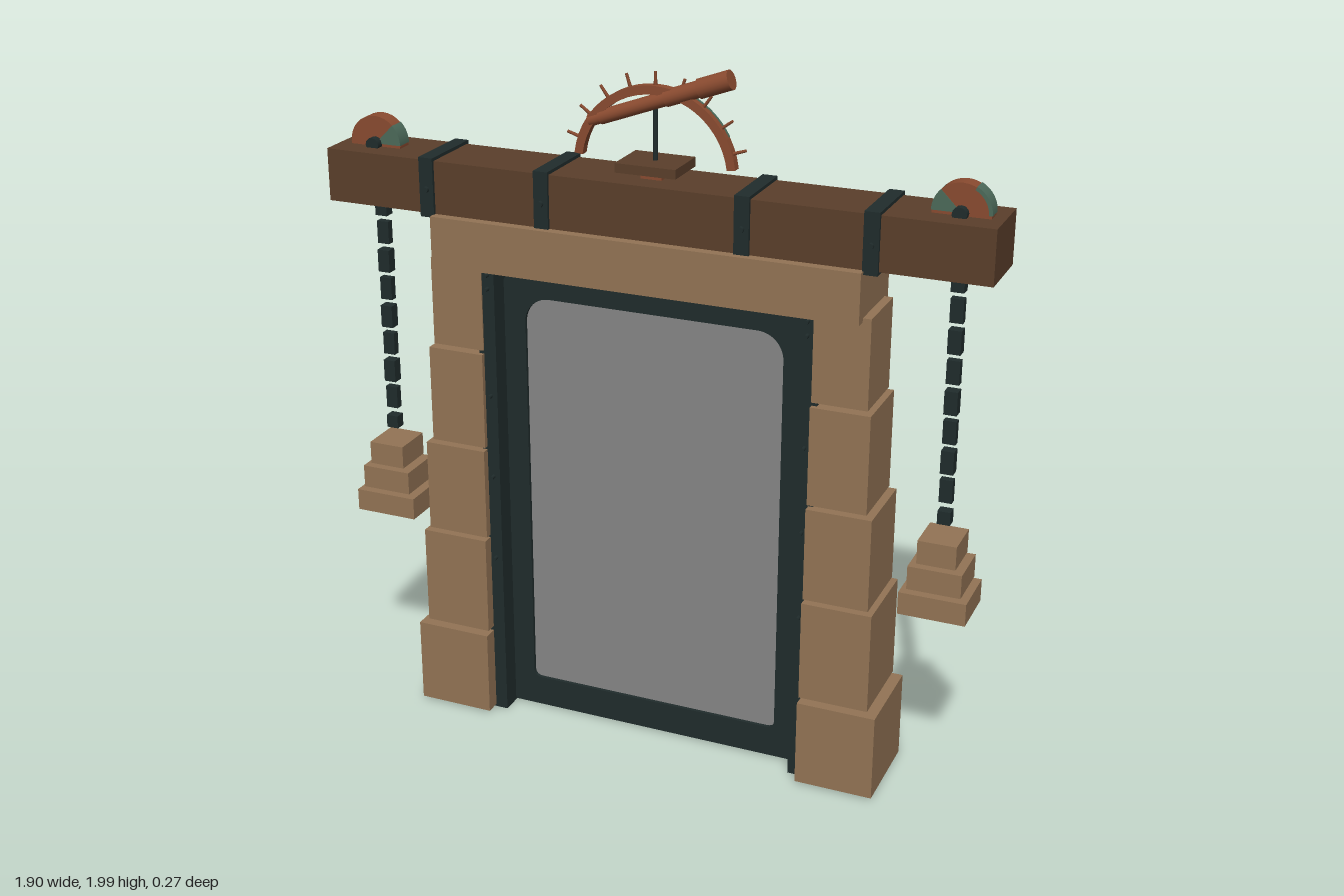
import * as THREE from 'three';

const mat = (name, color) => {
  const m = new THREE.MeshStandardMaterial({ color });
  m.name = name;
  return m;
};

export function createModel() {
  const stone = mat('sandstone', 0x937455);
  const wood = mat('dark wood', 0x5b3f2b);
  const iron = mat('dark iron', 0x202c2c);
  const copper = mat('copper', 0x8a4b30);
  const patina = mat('green patina', 0x4c6a5a);
  const glass = mat('grey panel', 0x868686);
  const root = new THREE.Group();

  const add = (name, geo, m, x = 0, y = 0, z = 0, parent = root) => {
    const mesh = new THREE.Mesh(geo, m);
    mesh.name = name;
    mesh.position.set(x, y, z);
    parent.add(mesh);
    return mesh;
  };
  // Box given by its limits in x and y and its half depth
  const block = (name, m, x0, x1, y0, y1, hz, parent) =>
    add(name, new THREE.BoxGeometry(Math.abs(x1 - x0), y1 - y0, hz * 2), m, (x0 + x1) / 2, (y0 + y1) / 2, 0, parent);
  // Extrusion centred on z = 0
  const slab = (shape, depth) =>
    new THREE.ExtrudeGeometry(shape, { depth, bevelEnabled: false, curveSegments: 12 }).translate(0, 0, -depth / 2);
  // Rectangle with different radii for the upper and lower corners
  const rounded = (P, hx, y0, y1, rt, rb) => {
    const p = new P();
    p.moveTo(-hx + rb, y0);
    p.lineTo(hx - rb, y0);
    p.quadraticCurveTo(hx, y0, hx, y0 + rb);
    p.lineTo(hx, y1 - rt);
    p.absarc(hx - rt, y1 - rt, rt, 0, Math.PI / 2, false);
    p.lineTo(-hx + rt, y1);
    p.absarc(-hx + rt, y1 - rt, rt, Math.PI / 2, Math.PI, false);
    p.lineTo(-hx, y0 + rb);
    p.quadraticCurveTo(-hx, y0, -hx + rb, y0);
    return p;
  };
  const arcShape = (r0, r1, a0, a1) => {
    const s = new THREE.Shape();
    s.absarc(0, 0, r1, a0, a1, false);
    s.absarc(0, 0, r0, a1, a0, true);
    return s;
  };

  // Crossbeam, lintel and iron straps with bolts
  block('crossbeam', wood, -0.953, 0.951, 1.54, 1.69, 0.097);
  block('lintel', stone, -0.62, 0.617, 1.398, 1.54, 0.125);
  for (const x of [-0.638, -0.29, 0.285, 0.634]) {
    block('strap', iron, x - 0.021, x + 0.021, 1.531, 1.699, 0.106);
    add('strapBolts', new THREE.CylinderGeometry(0.009, 0.009, 0.232, 8).rotateX(Math.PI / 2), iron, x, 1.61, 0);
  }

  // Door frame with grey panel
  const door = rounded(THREE.Shape, 0.452, 0.008, 1.397, 0.07, 0.002);
  door.holes.push(rounded(THREE.Path, 0.383, 0.1, 1.31, 0.075, 0.025));
  add('doorFrame', slab(door, 0.06), iron);
  add('doorPanel', slab(rounded(THREE.Shape, 0.386, 0.097, 1.313, 0.075, 0.025), 0.04), glass);
  block('doorHeader', iron, -0.46, 0.46, 1.33, 1.4, 0.022);

  // Tapering stacks of stone: outer edge, bottom, top, half depth
  const courses = [
    [0.711, 0.01, 0.264, 0.133], [0.685, 0.277, 0.572, 0.122], [0.671, 0.58, 0.852, 0.112],
    [0.653, 0.861, 1.145, 0.103], [0.641, 1.155, 1.41, 0.093],
  ];
  for (const s of [-1, 1]) {
    courses.forEach(([x, y0, y1, hz]) => block('pillarStone', stone, s * 0.485, s * x, y0, y1, hz));
    block('doorJamb', iron, s * 0.448, s * 0.5, 0.003, 1.398, 0.089);
    for (const y of [0.51, 0.77, 1.02, 1.34, 1.38])
      add('jambRivets', new THREE.CylinderGeometry(0.006, 0.006, 0.21, 8).rotateX(Math.PI / 2), iron, s * 0.468, y, 0);

    // Pulley with a weathered sector on the inner side
    const pulley = new THREE.Group();
    pulley.name = 'pulley';
    pulley.position.set(s * 0.84, 1.698, 0);
    root.add(pulley);
    add('wheel', new THREE.CylinderGeometry(0.078, 0.078, 0.046, 32).rotateX(Math.PI / 2), copper, 0, 0, 0, pulley);
    const a = s > 0 ? Math.PI * 0.75 : 0;
    add('weatheredSector', slab(arcShape(0.016, 0.0785, a, a + Math.PI / 4), 0.05), patina, 0, 0, 0, pulley);
    if (s > 0) add('weatheredRim', slab(arcShape(0.07, 0.08, 0, 1.1), 0.047), patina, 0, 0, 0, pulley);
    add('axle', new THREE.CylinderGeometry(0.02, 0.02, 0.09, 12).rotateX(Math.PI / 2), iron, 0, 0, 0, pulley);

    // Hanging chain and stepped stone weight
    for (let i = 0; i < 9; i++) {
      const h = i === 8 ? 0.038 : 0.066;
      const turned = i % 2;
      add('chainLink', new THREE.BoxGeometry(0.036, h, turned ? 0.022 : 0.032), iron,
        s * 0.84, i === 8 ? 0.85 : 1.518 - i * 0.0845, 0);
    }
    [[0.054, 0.726, 0.794, 0.061], [0.075, 0.65, 0.718, 0.071], [0.094, 0.576, 0.641, 0.081]]
      .forEach(([hx, y0, y1, hz]) => block('weight', stone, s * 0.838 - hx, s * 0.838 + hx, y0, y1, hz));
  }

  // Sighting instrument on top: base, post and toothed arc
  block('instrumentFoot', copper, -0.03, 0.03, 1.685, 1.712, 0.03);
  block('instrumentBase', wood, -0.088, 0.086, 1.71, 1.736, 0.07);
  add('post', new THREE.CylinderGeometry(0.007, 0.007, 0.2, 10), iron, 0, 1.83, 0);
  const arc = new THREE.Group();
  arc.name = 'dialArc';
  arc.position.y = 1.705;
  root.add(arc);
  add('arcBand', slab(arcShape(0.209, 0.233, 0.13, Math.PI - 0.13), 0.026), copper, 0, 0, 0, arc);
  add('arcPatina', slab(arcShape(0.208, 0.234, 0.5, 1.2), 0.008), patina, 0, 0, -0.01, arc);
  for (let i = 0; i < 9; i++) {
    const t = (18 + i * 18) * Math.PI / 180;
    const tooth = add('arcTooth', new THREE.CylinderGeometry(0.004, 0.005, 0.04, 6), copper,
      Math.cos(t) * 0.249, Math.sin(t) * 0.249, 0, arc);
    tooth.rotation.z = t - Math.PI / 2;
  }

  // Telescope: stepped tube lying across the arc
  const profile = [[0, -0.215], [0.017, -0.215], [0.017, -0.18], [0.02, -0.18], [0.02, 0.02],
    [0.023, 0.02], [0.023, 0.12], [0.027, 0.12], [0.027, 0.213], [0, 0.213]];
  const scope = new THREE.Group();
  scope.name = 'telescope';
  scope.position.set(0.012, 1.898, 0);
  scope.rotation.z = -Math.PI / 2 + 0.35;
  root.add(scope);
  for (let i = 0; i < profile.length - 1; i++) {
    const pts = [profile[i], profile[i + 1]].map(([r, y]) => new THREE.Vector2(r, y));
    add('tubeSection', new THREE.LatheGeometry(pts, 20), copper, 0, 0, 0, scope);
  }
  add('tubePatina', new THREE.CylinderGeometry(0.0235, 0.0235, 0.05, 12, 1, true, Math.PI * 0.75, Math.PI / 2), patina, 0, 0.05, 0, scope);
  return root;
}
